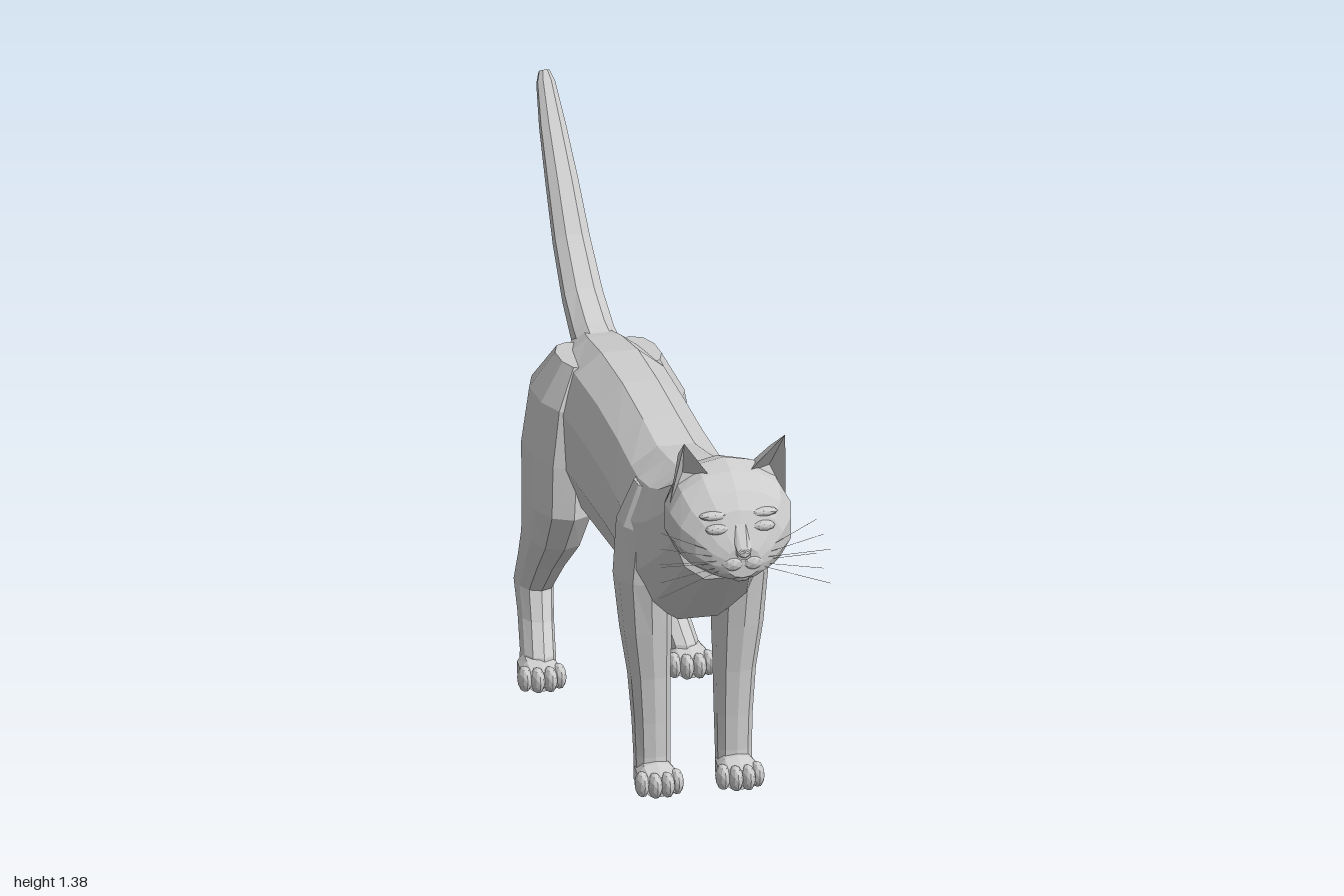
import * as THREE from 'three';

const V = (x, y, z) => new THREE.Vector3(x, y, z);

// Faceted geometry from a flat list of triangle corners
function facets(points) {
  const g = new THREE.BufferGeometry().setFromPoints(points);
  g.computeVertexNormals();
  return g;
}

// Closed ring of corners around a centre, spanned by half-axes u and v
function ring(c, u, v, sides, e = 0.88) {
  const bend = (t) => Math.sign(t) * Math.abs(t) ** e;
  return Array.from({ length: sides }, (_, i) => {
    const a = ((i + 0.5) / sides) * Math.PI * 2;
    return c.clone().addScaledVector(u, bend(Math.cos(a))).addScaledVector(v, bend(Math.sin(a)));
  });
}

// Skin over a row of rings, capped at both ends (rings advance along u x v)
function loft(rings) {
  const pts = [], n = rings[0].length;
  const mid = (r) => r.reduce((s, p) => s.add(p), V(0, 0, 0)).divideScalar(n);
  const first = rings[0], last = rings[rings.length - 1], m0 = mid(first), m1 = mid(last);
  for (let j = 0; j < n; j++) {
    const k = (j + 1) % n;
    pts.push(m0, first[k], first[j], m1, last[j], last[k]);
    for (let i = 0; i + 1 < rings.length; i++) {
      const [a, b, c, d] = [rings[i][j], rings[i][k], rings[i + 1][k], rings[i + 1][j]];
      pts.push(a, b, c, a, c, d);
    }
  }
  return facets(pts);
}

// Sections [z, top, bottom, halfWidth, x] running forward
const loftZ = (rows, sides, e) => loft(rows.map(([z, top, bot, w, x = 0]) =>
  ring(V(x, (top + bot) / 2, z), V(w, 0, 0), V(0, (top - bot) / 2, 0), sides, e)));

// Sections [y, x, z, halfWidth, halfDepth] running downward
const loftDown = (rows, sides) => loft(rows.map(([y, x, z, w, d]) =>
  ring(V(x, y, z), V(w, 0, 0), V(0, 0, d), sides)));

// Faceted ellipsoid
function blob(x, y, z, rx, ry, rz, detail = 1) {
  const g = new THREE.IcosahedronGeometry(1, detail);
  g.scale(rx, ry, rz).translate(x, y, z);
  return facets(Array.from({ length: g.attributes.position.count }, (_, i) =>
    new THREE.Vector3().fromBufferAttribute(g.attributes.position, i)));
}

// Mirror across x, keeping faces outward
function mirrored(g) {
  const p = g.attributes.position, out = [];
  const at = (i) => V(-p.getX(i), p.getY(i), p.getZ(i));
  for (let i = 0; i < p.count; i += 3) out.push(at(i), at(i + 2), at(i + 1));
  return facets(out);
}

export function createModel() {
  const cat = new THREE.Group();
  cat.name = 'cat';
  const fur = new THREE.MeshStandardMaterial({ color: 0xcccccc, side: THREE.DoubleSide });
  fur.name = 'lightGreyFur';

  const add = (name, g) => {
    const m = new THREE.Mesh(g, fur);
    m.name = name;
    cat.add(m);
  };
  const pair = (name, g) => {
    add(name + 'Left', g);
    add(name + 'Right', mirrored(g));
  };

  // Torso and neck
  add('torso', loftZ([
    [-0.53, 0.80, 0.62, 0.05], [-0.49, 0.87, 0.56, 0.10], [-0.40, 0.885, 0.50, 0.14],
    [-0.25, 0.90, 0.45, 0.155], [-0.05, 0.89, 0.445, 0.15], [0.15, 0.865, 0.45, 0.15],
    [0.30, 0.845, 0.46, 0.157], [0.42, 0.86, 0.45, 0.175], [0.51, 0.867, 0.45, 0.168],
    [0.56, 0.875, 0.49, 0.155], [0.64, 0.91, 0.56, 0.135], [0.72, 0.955, 0.63, 0.12],
  ], 12));

  // Head
  add('head', loftZ([
    [0.64, 0.92, 0.66, 0.11], [0.70, 0.955, 0.67, 0.138], [0.77, 0.975, 0.69, 0.158],
    [0.83, 0.96, 0.70, 0.16], [0.88, 0.925, 0.70, 0.146], [0.915, 0.885, 0.705, 0.115],
    [0.94, 0.83, 0.71, 0.078], [0.955, 0.80, 0.72, 0.045],
  ], 14, 0.95));
  add('noseBridge', loftZ([
    [0.88, 0.89, 0.77, 0.04], [0.93, 0.855, 0.765, 0.028], [0.965, 0.80, 0.77, 0.018],
  ], 8));
  add('nose', blob(0, 0.785, 0.96, 0.018, 0.013, 0.013, 0));
  add('chin', blob(0, 0.722, 0.93, 0.03, 0.02, 0.022));
  pair('muzzle', blob(0.026, 0.757, 0.938, 0.032, 0.024, 0.026));
  pair('eyelid', blob(0.06, 0.842, 0.924, 0.03, 0.014, 0.015));
  pair('brow', blob(0.062, 0.872, 0.905, 0.04, 0.012, 0.018));

  // Ears: hollow in front, ridged behind
  const A = V(0.05, 0.945, 0.815), B = V(0.15, 0.87, 0.80), C = V(0.088, 0.935, 0.71);
  const T = V(0.13, 1.057, 0.87), D = V(0.112, 0.95, 0.785), M = V(0.118, 0.992, 0.765);
  pair('ear', facets([A, B, D, B, T, D, T, A, D, B, C, M, B, M, T, C, A, M, M, A, T]));

  // Whiskers
  for (let i = 0; i < 6; i++) {
    const from = V(0.04, 0.745 + 0.006 * i, 0.94);
    const to = V(0.22 - 0.01 * (i % 3), 0.69 + 0.03 * i, 0.97 - 0.03 * (i % 3));
    const curve = new THREE.LineCurve3(from, to);
    pair('whisker' + (i + 1), new THREE.TubeGeometry(curve, 1, 0.0007, 3).toNonIndexed());
  }

  // Front legs
  pair('frontLeg', loftDown([
    [0.80, 0.09, 0.43, 0.05, 0.06], [0.70, 0.112, 0.435, 0.072, 0.10],
    [0.56, 0.125, 0.44, 0.070, 0.092], [0.42, 0.118, 0.448, 0.064, 0.070],
    [0.30, 0.110, 0.45, 0.053, 0.056], [0.18, 0.106, 0.455, 0.048, 0.046],
    [0.09, 0.105, 0.46, 0.046, 0.040], [0.02, 0.105, 0.465, 0.046, 0.042],
  ], 10));

  // Hind legs
  pair('hindLeg', loftDown([
    [0.85, 0.08, -0.36, 0.05, 0.10], [0.75, 0.108, -0.375, 0.080, 0.163],
    [0.61, 0.125, -0.365, 0.086, 0.172], [0.48, 0.135, -0.345, 0.080, 0.165],
    [0.38, 0.143, -0.370, 0.070, 0.125], [0.30, 0.153, -0.425, 0.056, 0.098],
    [0.22, 0.162, -0.475, 0.046, 0.080], [0.15, 0.170, -0.425, 0.042, 0.070],
    [0.08, 0.183, -0.355, 0.042, 0.065], [0.02, 0.190, -0.330, 0.044, 0.055],
  ], 10));

  // Paws with four toes each
  for (const [name, x, heel] of [['frontPaw', 0.104, 0.42], ['hindPaw', 0.192, -0.39]]) {
    pair(name, loftZ([
      [heel, 0.05, 0.008, 0.036, x], [heel + 0.04, 0.085, 0, 0.048, x],
      [heel + 0.09, 0.08, 0, 0.054, x], [heel + 0.13, 0.055, 0.004, 0.046, x],
    ], 10));
    [-0.044, -0.016, 0.016, 0.044].forEach((dx, i) => {
      const inner = i === 1 || i === 2;
      pair(name + 'Toe' + (i + 1),
        blob(x + dx, 0.034, heel + (inner ? 0.127 : 0.108), 0.018, 0.034, 0.032));
    });
  }

  // Tail: sections [y, z, halfWidth, halfThickness] square to the path
  const path = [
    [0.82, -0.43, 0.06, 0.05], [0.845, -0.51, 0.056, 0.05], [0.91, -0.61, 0.053, 0.042],
    [1.02, -0.72, 0.048, 0.038], [1.14, -0.81, 0.042, 0.034], [1.26, -0.905, 0.034, 0.027],
    [1.35, -0.97, 0.024, 0.02], [1.375, -0.986, 0.014, 0.012],
  ];
  add('tail', loft(path.map(([y, z, w, t], i) => {
    const a = path[Math.max(i - 1, 0)], b = path[Math.min(i + 1, path.length - 1)];
    const d = V(0, b[0] - a[0], b[1] - a[1]).normalize();
    return ring(V(0, y, z), V(w, 0, 0), V(0, d.z, -d.y).multiplyScalar(t), 8);
  })));

  // Small rise under the tail
  add('rumpDetail', blob(0, 0.755, -0.53, 0.02, 0.018, 0.014, 0));

  return cat;
}
